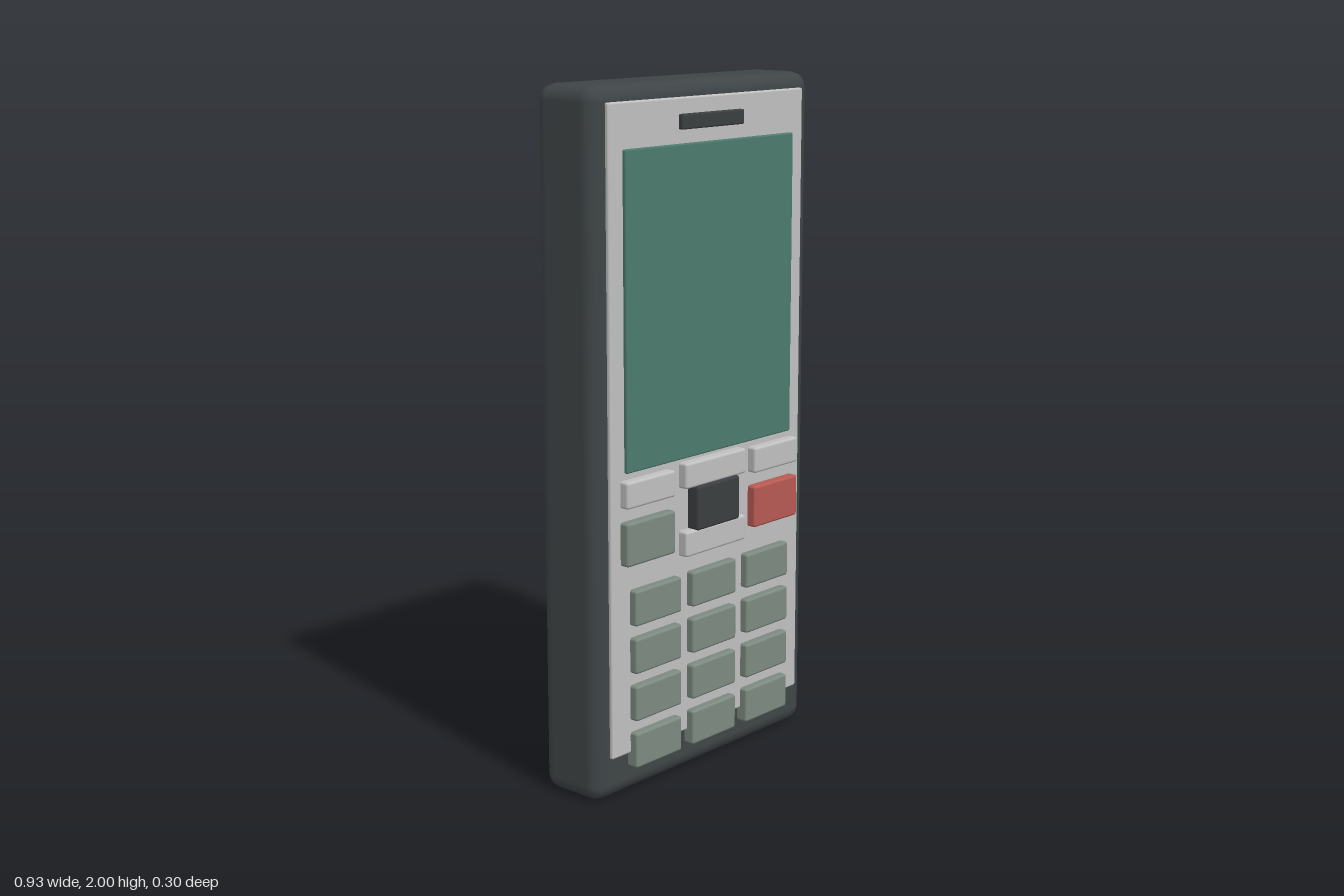
import * as THREE from 'three';
import { RoundedBoxGeometry } from 'three/addons/geometries/RoundedBoxGeometry.js';

const paint = (name, color) => {
  const m = new THREE.MeshStandardMaterial({ color });
  m.name = name;
  return m;
};

export function createModel() {
  const phone = new THREE.Group();
  phone.name = 'mobilePhone';

  const casing = paint('charcoal casing', 0x3f4547);
  const silver = paint('silver', 0xbfc0bf);
  const glass = paint('green screen', 0x4b7a6c);
  const keyGrey = paint('grey green key', 0x7c8a80);
  const red = paint('red key', 0xb75a54);
  const dark = paint('dark trim', 0x3b3e40);

  // Rounded block centred at (x, y), spanning z0 to z1
  function block(name, mat, x, y, w, h, z0, z1, radius = 0.008, segments = 2) {
    const mesh = new THREE.Mesh(new RoundedBoxGeometry(w, h, z1 - z0, segments, radius), mat);
    mesh.position.set(x, y, (z0 + z1) / 2);
    mesh.name = name;
    phone.add(mesh);
  }

  // Body and front panel
  block('body', casing, 0, 1, 0.932, 2, -0.12, 0.095, 0.045);
  block('faceplate', silver, 0, 1.04, 0.826, 1.83, 0.08, 0.106, 0.006);
  block('screen', glass, 0, 1.387, 0.716, 0.885, 0.095, 0.117, 0.005);
  block('earpiece', dark, 0, 1.889, 0.264, 0.042, 0.095, 0.121, 0.005);

  // Soft keys, call and end keys
  for (const side of [-1, 1]) {
    block('softKey', silver, side * 0.275, 0.887, 0.2, 0.077, 0.095, 0.134);
    block(side < 0 ? 'callKey' : 'endKey', side < 0 ? keyGrey : red,
      side * 0.275, 0.746, 0.2, 0.125, 0.095, 0.134);
  }

  // Navigation pad
  block('navigationUp', silver, 0, 0.897, 0.264, 0.075, 0.095, 0.136);
  block('navigationDown', silver, 0, 0.697, 0.264, 0.075, 0.095, 0.136);
  block('selectKey', dark, 0, 0.797, 0.186, 0.13, 0.095, 0.145);

  // Number keys
  for (let row = 0; row < 4; row++) {
    for (let col = -1; col <= 1; col++) {
      block('numberKey', keyGrey, col * 0.242, 0.555 - row * 0.14, 0.193, 0.104, 0.09, 0.131);
    }
  }

  // Rear camera
  function disc(name, mat, radius, z0, z1) {
    const geo = new THREE.CylinderGeometry(radius, radius, z1 - z0, 32).rotateX(Math.PI / 2);
    const mesh = new THREE.Mesh(geo, mat);
    mesh.position.set(0, 1.603, (z0 + z1) / 2);
    mesh.name = name;
    phone.add(mesh);
  }
  disc('cameraRing', silver, 0.09, -0.145, -0.11);
  disc('cameraLens', dark, 0.053, -0.15, -0.12);

  return phone;
}
